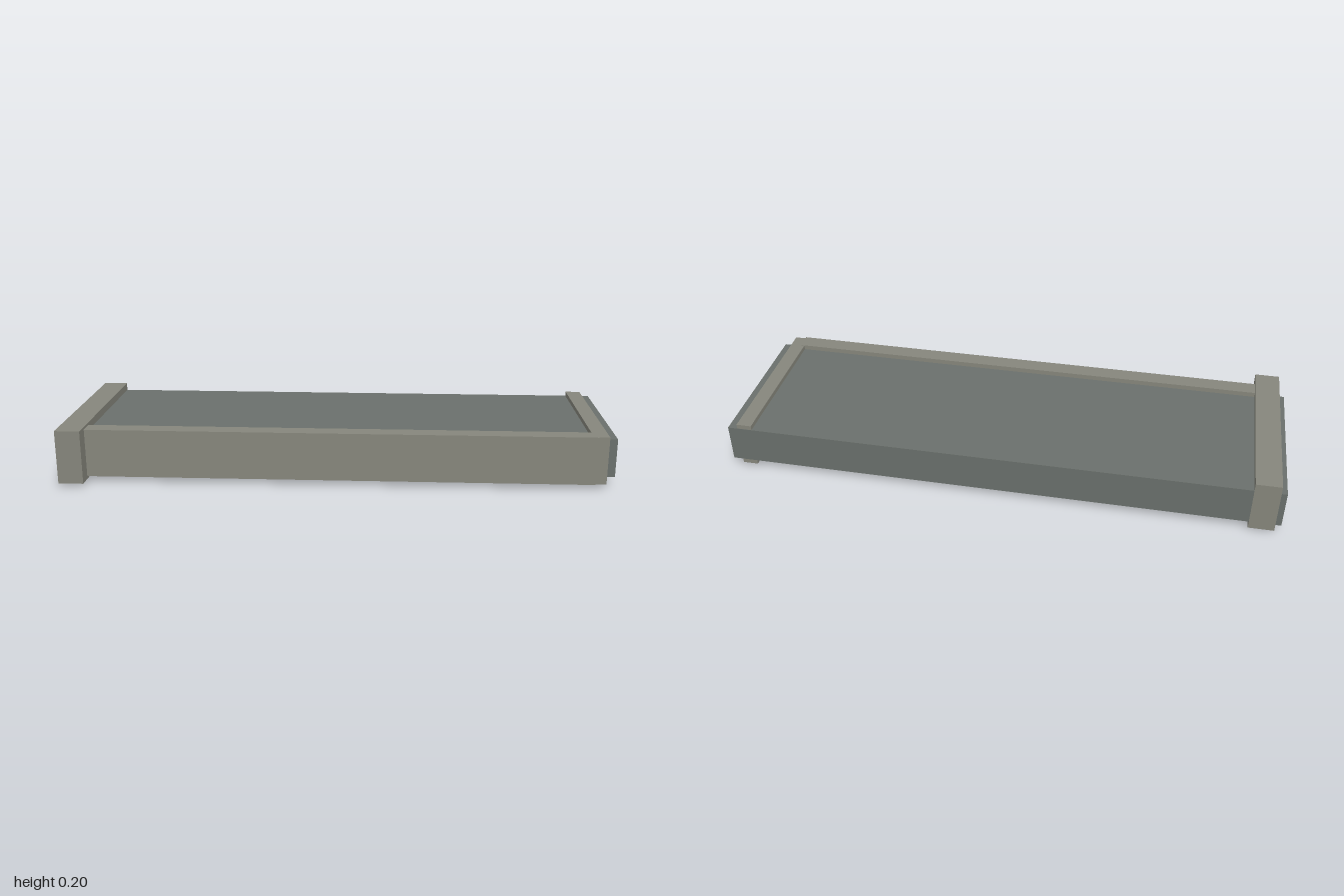
import * as THREE from 'three';

const material = (color) => new THREE.MeshStandardMaterial({ color, flatShading: true });

export function createModel() {
  const model = new THREE.Group();
  const panel = material(0x6a706c);
  const trim = material(0x86867c);
  const vent = material(0x8c9088);
  const teal = material(0x86c8bc);
  const amber = material(0xc9a868);

  // Box given by its extents along each axis
  function box(name, mat, [x0, x1], [y0, y1], [z0, z1], parent = model) {
    const mesh = new THREE.Mesh(new THREE.BoxGeometry(x1 - x0, y1 - y0, z1 - z0), mat);
    mesh.position.set((x0 + x1) / 2, (y0 + y1) / 2, (z0 + z1) / 2);
    mesh.name = name;
    parent.add(mesh);
  }

  // Core slab, showing at the top, back and both ends
  box('coreSlab', panel, [-1, 1], [0.037, 0.177], [-0.335, 0.243]);

  // Raised trim around the slab
  box('frontRail', trim, [-0.9, 0.925], [0.02, 0.195], [0.222, 0.283]);
  box('endCap', trim, [0.91, 0.965], [0.02, 0.194], [-0.334, 0.276]);
  box('endPost', trim, [-0.98, -0.89], [0.01, 0.205], [-0.3355, 0.336]);

  // Underside plate with its details
  box('bottomPlate', panel, [-0.7, 0.89], [0.019, 0.04], [-0.208, 0.14]);
  box('lightStrip', teal, [0.04, 0.65], [0.002, 0.04], [0.194, 0.214]);
  box('amberBlock', amber, [-0.73, -0.555], [0, 0.04], [0.07, 0.163]);

  // Row of vent bars
  const vents = new THREE.Group();
  vents.name = 'ventBars';
  model.add(vents);
  for (let i = 0; i < 6; i++) {
    const z = 0.058 - i * 0.0434;
    box('ventBar', vent, [0.225, 0.585], [0.003, 0.022], [z - 0.01, z + 0.01], vents);
  }
  return model;
}
